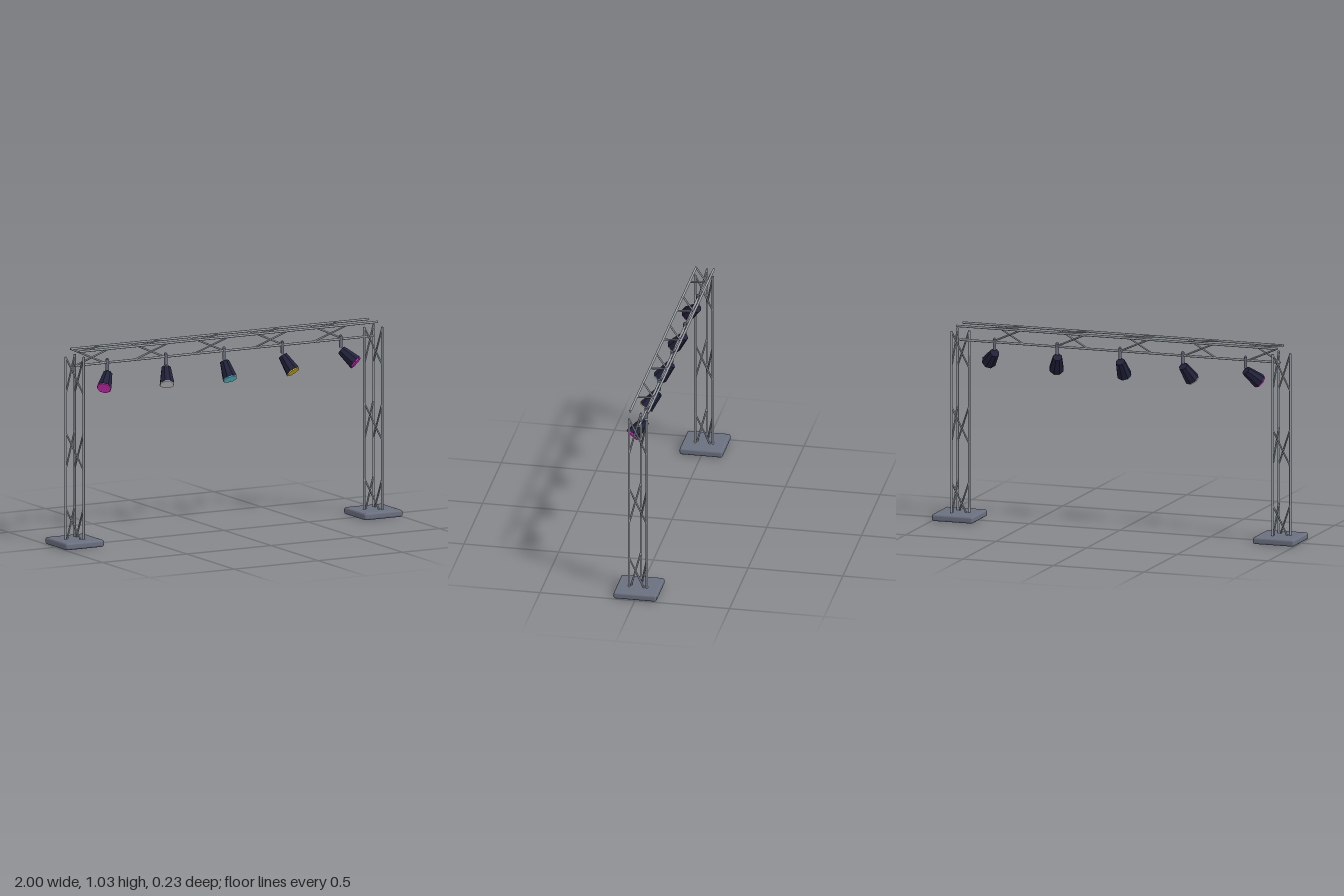
import * as THREE from 'three';
import { RoundedBoxGeometry } from 'three/addons/geometries/RoundedBoxGeometry.js';

const material = (name, color) => {
  const m = new THREE.MeshStandardMaterial({ color });
  m.name = name;
  return m;
};

const UP = new THREE.Vector3(0, 1, 0);

export function createModel() {
  const trussGrey = material('trussGrey', 0x969ba2);
  const baseGrey = material('baseGrey', 0x6b7080);
  const housingNavy = material('housingNavy', 0x22223b);
  const lensMagenta = material('lensMagenta', 0xff38dc);
  const lensWhite = material('lensWhite', 0xf6f7fb);
  const lensCyan = material('lensCyan', 0x66eaf5);
  const lensYellow = material('lensYellow', 0xffe02c);

  const model = new THREE.Group();
  model.name = 'lightingTruss';

  const add = (parent, name, geometry, mat, x = 0, y = 0, z = 0) => {
    const mesh = new THREE.Mesh(geometry, mat);
    mesh.name = name;
    mesh.position.set(x, y, z);
    parent.add(mesh);
    return mesh;
  };

  // Round rod between two points
  const rod = (parent, name, a, b, radius) => {
    const dir = b.clone().sub(a);
    const mesh = add(parent, name, new THREE.CylinderGeometry(radius, radius, dir.length(), 8), trussGrey);
    mesh.position.copy(a).lerp(b, 0.5);
    mesh.quaternion.setFromUnitVectors(UP, dir.normalize());
  };

  // Triangular truss along +y: three chords, twisted braces in every other bay
  const truss = (name, length, bays) => {
    const group = new THREE.Group();
    group.name = name;
    const corners = [[-0.054, 0], [0.027, -0.047], [0.027, 0.047]];
    const point = (i, y) => new THREE.Vector3(corners[i % 3][0], y, corners[i % 3][1]);
    const bay = length / bays;
    for (let i = 0; i < 3; i++) {
      rod(group, 'chord', point(i, 0), point(i, length), 0.0062);
      for (let b = 0; b < bays; b += 2) {
        rod(group, 'brace', point(i, b * bay), point(i + 1, (b + 1) * bay), 0.0047);
      }
    }
    model.add(group);
    return group;
  };

  // Towers and their foot plates
  for (const [side, x] of [['left', 0.886], ['right', -0.886]]) {
    const tower = truss(side + 'Tower', 0.995, 5);
    tower.position.set(x, 0.005, 0);
    add(model, side + 'Base', new RoundedBoxGeometry(0.228, 0.037, 0.228, 2, 0.012), baseGrey, x, 0.0215, 0);
  }

  // Cross beam: the same truss laid along +x with a single chord underneath
  const beam = truss('crossBeam', 1.77, 10);
  beam.position.set(-0.885, 1.003, 0);
  beam.quaternion.setFromRotationMatrix(new THREE.Matrix4().makeBasis(
    new THREE.Vector3(0, 1, 0), new THREE.Vector3(1, 0, 0), new THREE.Vector3(0, 0, -1)));

  // Spotlights fanning outward
  const lenses = [lensMagenta, lensWhite, lensCyan, lensYellow, lensMagenta];
  lenses.forEach((lens, i) => {
    const k = i - 2;
    const spot = new THREE.Group();
    spot.name = 'spotlight';
    spot.position.set(k * 0.3465, 0.892, 0.005);
    model.add(spot);
    add(spot, 'hanger', new THREE.CylinderGeometry(0.009, 0.009, 0.06, 8), baseGrey, 0, 0.043, -0.005);
    add(spot, 'hangerTip', new THREE.CylinderGeometry(0.004, 0.009, 0.006, 8), baseGrey, 0, 0.076, -0.005);

    // Tapered housing, wide end along -y before aiming
    const head = new THREE.Group();
    head.name = 'lampHead';
    const aim = new THREE.Vector3(k * 0.28, -0.82 + 0.042 * k * k, 0.6).normalize();
    head.quaternion.setFromUnitVectors(new THREE.Vector3(0, -1, 0), aim);
    spot.add(head);
    const housing = new THREE.CylinderGeometry(0.025, 0.0395, 0.098, 8).toNonIndexed();
    housing.computeVertexNormals();
    add(head, 'housing', housing, housingNavy, 0, -0.049, 0);
    // Lens disc standing just proud of the rim
    add(head, 'lens', new THREE.CylinderGeometry(0.0375, 0.0375, 0.007, 8), lens, 0, -0.1, 0);
  });

  return model;
}
